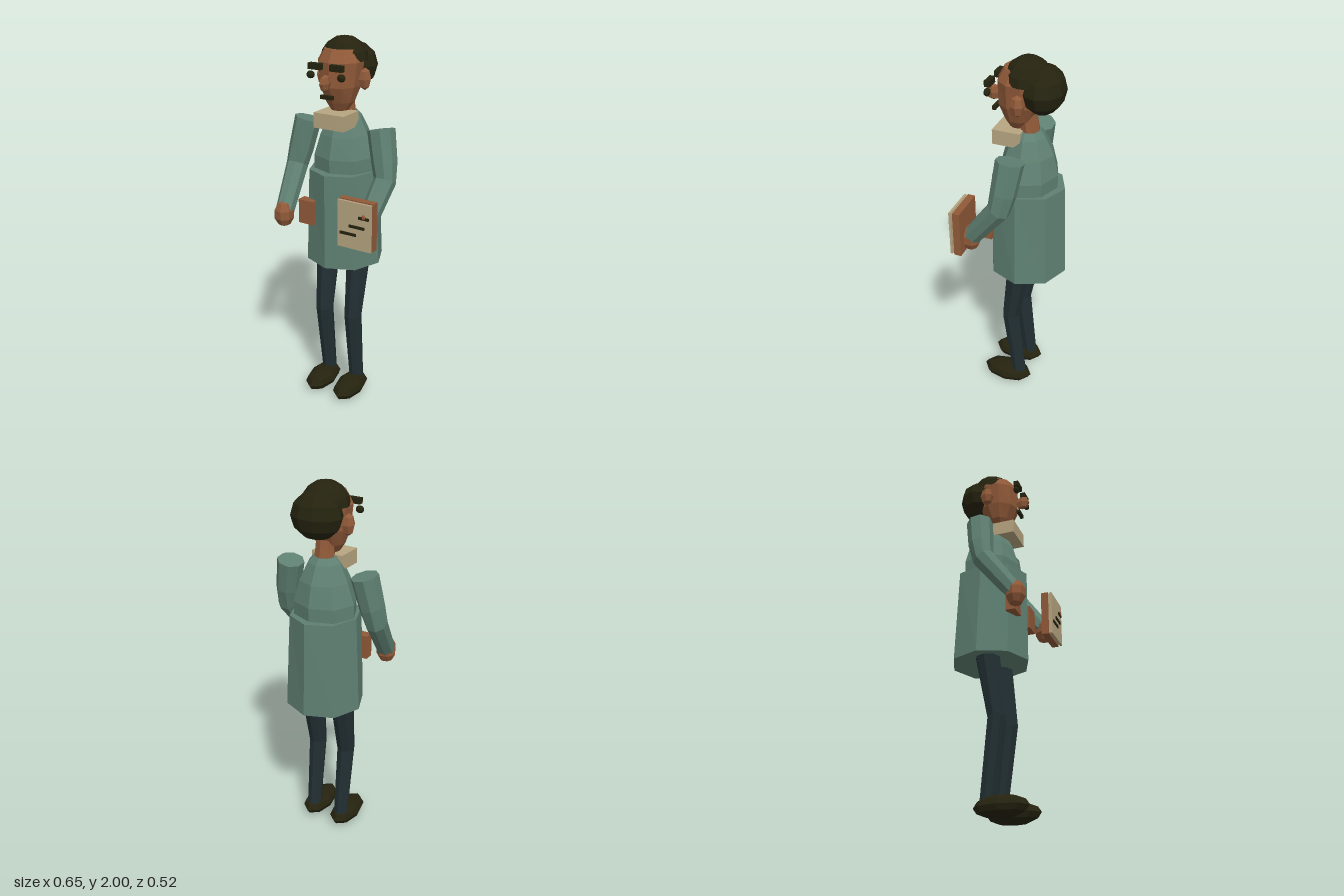
import * as THREE from 'three';

const mat = (name, color) => {
  const m = new THREE.MeshStandardMaterial({ color });
  m.name = name;
  return m;
};

// Split the corners so every facet gets its own flat normal
function faceted(geo) {
  const g = geo.index ? geo.toNonIndexed() : geo;
  g.computeVertexNormals();
  return g;
}

// Closed loft through rings [x, y, z, rx, rz], listed from bottom to top.
// With follow, each ring is turned to stand square to the path.
function loft(rings, sides = 8, follow = false, phase = 0) {
  const centres = rings.map(r => new THREE.Vector3(r[0], r[1], r[2]));
  const up = new THREE.Vector3(0, 1, 0);
  const pos = [], idx = [];
  rings.forEach((r, k) => {
    const q = new THREE.Quaternion();
    if (follow) {
      const a = centres[Math.max(k - 1, 0)], b = centres[Math.min(k + 1, rings.length - 1)];
      q.setFromUnitVectors(up, b.clone().sub(a).normalize());
    }
    for (let i = 0; i < sides; i++) {
      const t = (i + phase) / sides * Math.PI * 2;
      const v = new THREE.Vector3(Math.sin(t) * r[3], 0, Math.cos(t) * r[4]);
      v.applyQuaternion(q).add(centres[k]);
      pos.push(v.x, v.y, v.z);
    }
  });
  const last = (rings.length - 1) * sides;
  const c0 = pos.length / 3, c1 = c0 + 1;
  pos.push(...centres[0].toArray(), ...centres[rings.length - 1].toArray());
  for (let i = 0; i < sides; i++) {
    const j = (i + 1) % sides;
    for (let k = 0; k < last; k += sides) {
      idx.push(k + i, k + j, k + sides + i, k + j, k + sides + j, k + sides + i);
    }
    idx.push(c0, j, i, c1, last + i, last + j);
  }
  const g = new THREE.BufferGeometry();
  g.setAttribute('position', new THREE.Float32BufferAttribute(pos, 3));
  g.setIndex(idx);
  return faceted(g);
}

// Low-poly ellipsoid
function blob(r, w = 8, h = 6) {
  const g = new THREE.SphereGeometry(1, w, h);
  g.scale(...r);
  return faceted(g);
}

export function createModel() {
  const model = new THREE.Group();
  model.name = 'figure';
  const coat = mat('coat green', 0x5f8072);
  const skin = mat('warm brown', 0x915a39);
  const dark = mat('near black', 0x25230f);
  const cloth = mat('trouser slate', 0x222f33);
  const cream = mat('cream', 0xb7a580);

  const add = (name, geo, material, at = [0, 0, 0]) => {
    const m = new THREE.Mesh(geo, material);
    m.name = name;
    m.position.set(...at);
    model.add(m);
    return m;
  };
  const box = (name, size, at, material) => add(name, new THREE.BoxGeometry(...size), material, at);

  // Coat skirt and upper body
  add('coatSkirt', loft([
    [0, 0.82, -0.053, 0.208, 0.208],
    [0, 1.33, -0.045, 0.18, 0.198]
  ]), coat);
  add('torso', loft([
    [0, 1.28, -0.05, 0.168, 0.152],
    [0, 1.40, -0.05, 0.168, 0.155],
    [0, 1.51, -0.052, 0.132, 0.128],
    [0, 1.60, -0.05, 0.09, 0.085],
    [0, 1.63, -0.05, 0.06, 0.06]
  ]), coat);
  box('collar', [0.174, 0.077, 0.145], [0, 1.598, 0.038], cream);

  // Neck and head
  add('neck', loft([
    [0, 1.60, -0.06, 0.055, 0.05],
    [0, 1.67, -0.05, 0.05, 0.048],
    [0, 1.78, -0.03, 0.05, 0.048]
  ]), skin);
  add('head', loft([
    [0, 1.643, 0.005, 0.045, 0.042],
    [0, 1.685, 0.0, 0.075, 0.07],
    [0, 1.765, -0.005, 0.103, 0.11],
    [0, 1.885, -0.008, 0.117, 0.114],
    [0, 1.945, -0.015, 0.085, 0.088]
  ], 10), skin);

  // Hair: a cap on the crown and a full mass behind
  const cap = new THREE.SphereGeometry(1, 12, 4, 0, Math.PI * 2, 0, Math.PI / 2);
  cap.scale(0.122, 0.115, 0.117);
  add('hairCap', faceted(cap), dark, [0, 1.885, -0.044]);
  add('hairBack', blob([0.135, 0.118, 0.107], 10, 6), dark, [0, 1.848, -0.122]);

  // Face
  add('nose', blob([0.021, 0.042, 0.043], 6, 4), skin, [0, 1.795, 0.136]);
  box('mouth', [0.07, 0.019, 0.018], [0, 1.724, 0.121], dark);

  // Mirrored parts
  for (const s of [-1, 1]) {
    const side = s > 0 ? 'left' : 'right';
    add(side + 'Ear', blob([0.031, 0.055, 0.038], 6, 4), skin, [s * 0.122, 1.8, -0.034]);
    add(side + 'Eye', blob([0.023, 0.019, 0.017], 8, 6), dark, [s * 0.087, 1.828, 0.13]);
    box(side + 'Eyebrow', [0.07, 0.03, 0.028], [s * 0.06, 1.871, 0.128], dark);
    box(side + 'Pocket', [0.092, 0.13, 0.052], [s * 0.12, 1.107, 0.116], skin);

    add(side + 'Arm', loft([
      [s * 0.24, 1.1, 0.165, 0.05, 0.05],
      [s * 0.265, 1.31, 0.005, 0.058, 0.06],
      [s * 0.25, 1.4, -0.015, 0.066, 0.066],
      [s * 0.217, 1.56, -0.036, 0.071, 0.071]
    ], 8, true, 0.5), coat);
    add(side + 'Hand', blob([0.055, 0.073, 0.055], 7, 5), skin, [s * 0.24, 1.088, 0.172]);

    add(side + 'Leg', loft([
      [s * 0.09, 0.08, -0.032, 0.04, 0.04],
      [s * 0.092, 0.5, 0.015, 0.049, 0.048],
      [s * 0.095, 0.88, -0.04, 0.066, 0.068]
    ], 8, true), cloth);
    add(side + 'Shoe', blob([0.076, 0.056, 0.143], 8, 6), dark, [s * 0.091, 0.056, 0.038]);
  }

  // Book held in the left hand
  box('bookBoard', [0.192, 0.25, 0.038], [0.232, 1.145, 0.209], skin);
  box('bookPages', [0.172, 0.235, 0.01], [0.232, 1.145, 0.232], cream);
  box('bookSheet', [0.188, 0.246, 0.012], [0.232, 1.145, 0.243], cream);
  [[0.2, 1.1, 0.09], [0.248, 1.143, 0.086], [0.287, 1.195, 0.056]].forEach(([x, y, w]) =>
    box('sheetLine', [w, 0.014, 0.006], [x, y, 0.252], dark));
  add('sheetMark', blob([0.012, 0.014, 0.008], 6, 4), skin, [0.288, 1.203, 0.253]);

  return model;
}
